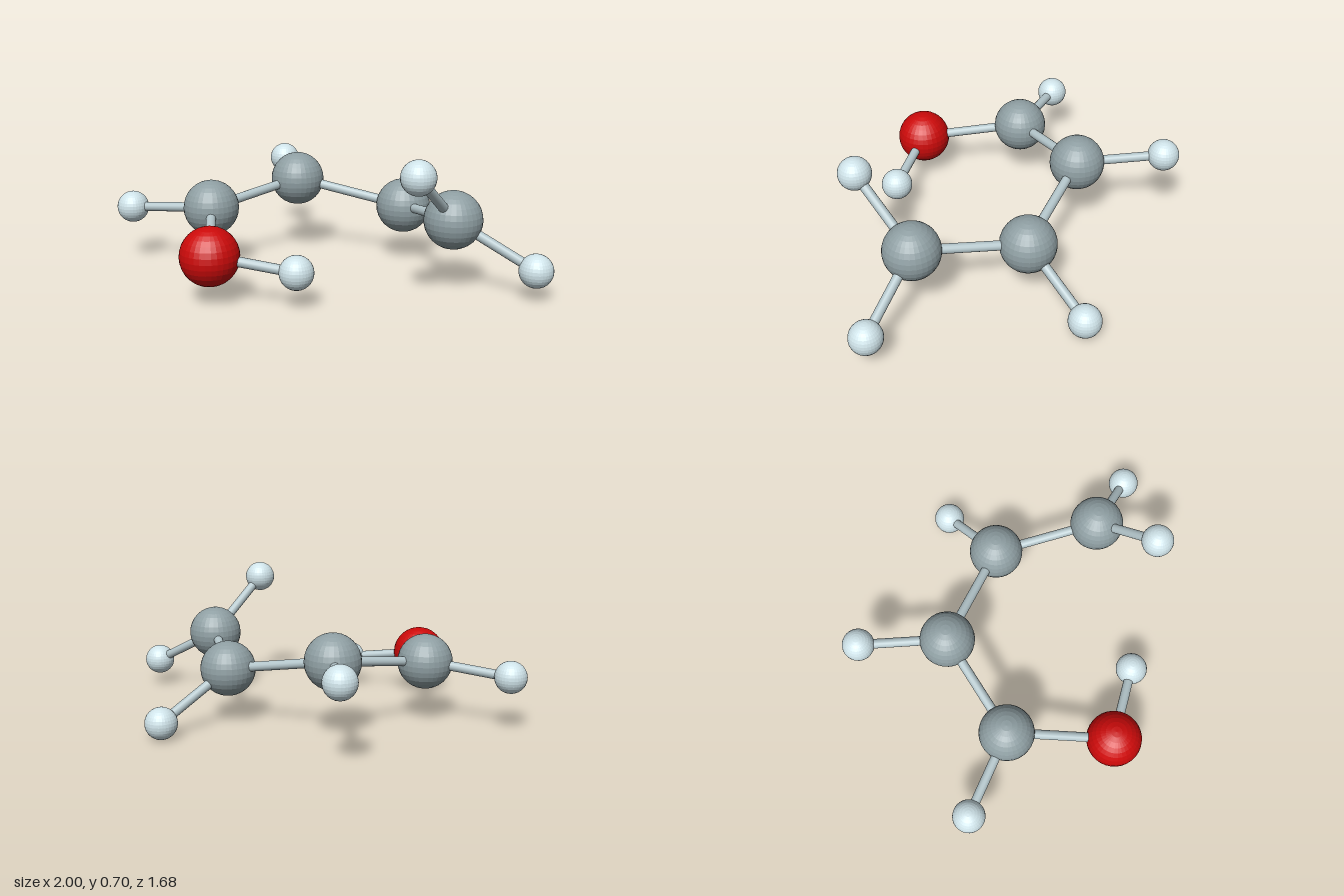
import * as THREE from 'three';

const KINDS = {
  carbon: { radius: 0.14, color: 0x8f9fa3 },
  oxygen: { radius: 0.14, color: 0xcc0a0a },
  hydrogen: { radius: 0.081, color: 0xcfe3e9 },
};
const BOND_RADIUS = 0.024;

// name: [kind, x, y, z]
const ATOMS = {
  rightCarbon: ['carbon', -0.527, 0.322, -0.047],
  middleCarbon: ['carbon', -0.045, 0.396, -0.318],
  leftCarbon: ['carbon', 0.473, 0.293, -0.043],
  endCarbon: ['carbon', 0.575, 0.356, 0.5],
  oxygen: ['oxygen', -0.569, 0.232, 0.492],
  oxygenHydrogen: ['hydrogen', -0.189, 0.177, 0.626],
  rightHydrogen: ['hydrogen', -0.922, 0.291, -0.254],
  middleHydrogen: ['hydrogen', -0.056, 0.421, -0.763],
  leftHydrogen: ['hydrogen', 0.788, 0.086, -0.291],
  upperEndHydrogen: ['hydrogen', 0.329, 0.625, 0.759],
  lowerEndHydrogen: ['hydrogen', 0.917, 0.15, 0.7],
};

const BONDS = [
  ['rightCarbon', 'middleCarbon'],
  ['middleCarbon', 'leftCarbon'],
  ['leftCarbon', 'endCarbon'],
  ['rightCarbon', 'oxygen'],
  ['oxygen', 'oxygenHydrogen'],
  ['rightCarbon', 'rightHydrogen'],
  ['middleCarbon', 'middleHydrogen'],
  ['leftCarbon', 'leftHydrogen'],
  ['endCarbon', 'upperEndHydrogen'],
  ['endCarbon', 'lowerEndHydrogen'],
];

export function createModel() {
  const model = new THREE.Group();
  model.name = 'molecule';

  // Atoms: one shared sphere and material per kind
  const shared = {};
  for (const [kind, { radius, color }] of Object.entries(KINDS)) {
    shared[kind] = {
      geometry: new THREE.SphereGeometry(radius, 32, 16),
      material: new THREE.MeshStandardMaterial({ color, flatShading: true }),
    };
  }
  const centres = {};
  for (const [name, [kind, x, y, z]] of Object.entries(ATOMS)) {
    const atom = new THREE.Mesh(shared[kind].geometry, shared[kind].material);
    atom.name = name;
    atom.position.set(x, y, z);
    centres[name] = atom.position;
    model.add(atom);
  }

  // Bonds: rods running from centre to centre
  const rodGeometry = new THREE.CylinderGeometry(BOND_RADIUS, BOND_RADIUS, 1, 16);
  const rodMaterial = new THREE.MeshStandardMaterial({ color: 0xb4c6cb });
  const up = new THREE.Vector3(0, 1, 0);
  for (const [from, to] of BONDS) {
    const axis = centres[to].clone().sub(centres[from]);
    const rod = new THREE.Mesh(rodGeometry, rodMaterial);
    rod.name = `bond ${from} to ${to}`;
    rod.scale.y = axis.length();
    rod.position.copy(centres[from]).addScaledVector(axis, 0.5);
    rod.quaternion.setFromUnitVectors(up, axis.normalize());
    model.add(rod);
  }
  return model;
}
